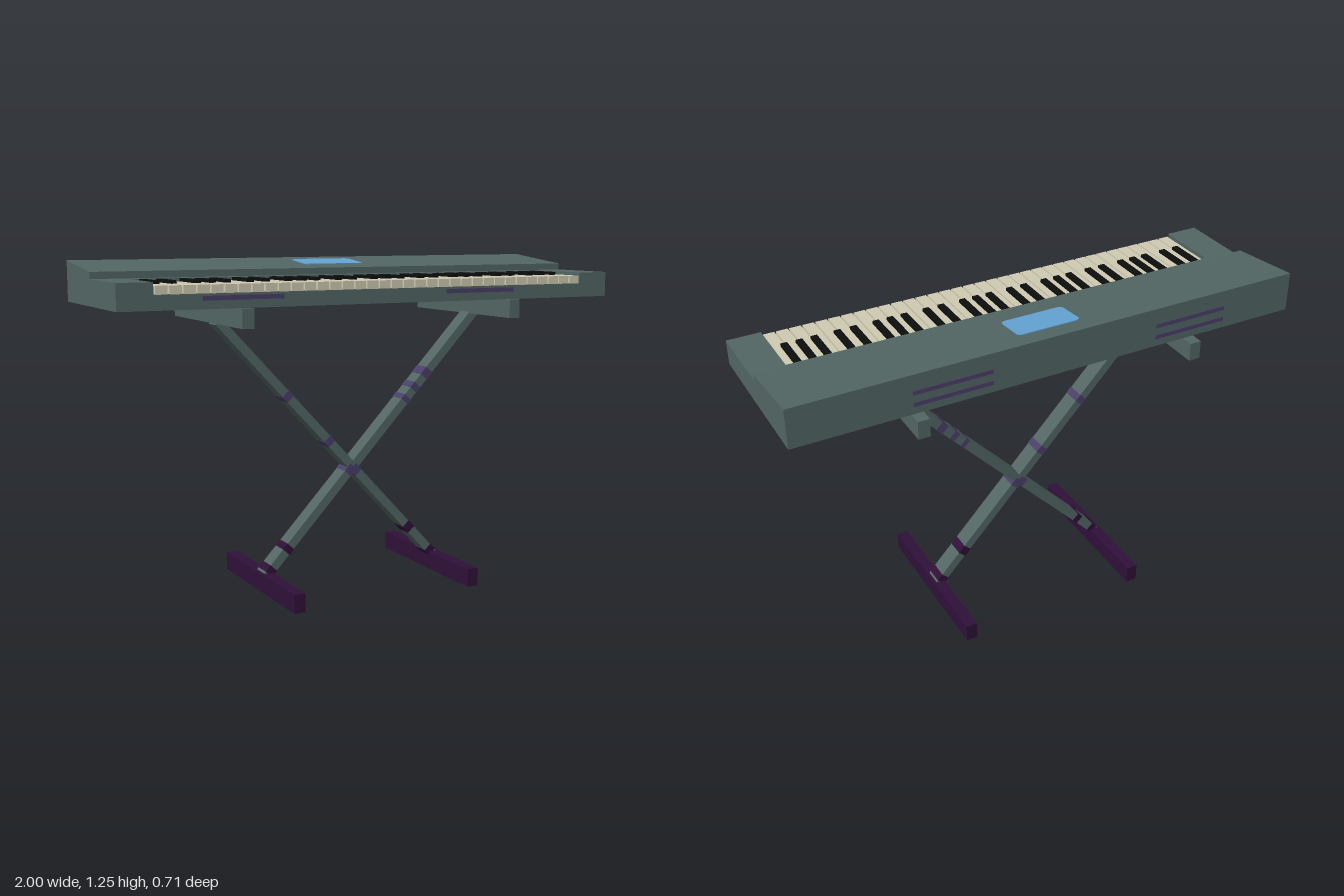
import * as THREE from 'three';

const material = (name, color, extra = {}) => {
  const m = new THREE.MeshStandardMaterial({ color, ...extra });
  m.name = name;
  return m;
};

export function createModel() {
  const casing = material('greyGreenCasing', 0x526664);
  const ivory = material('ivory', 0xcfcab2);
  const black = material('black', 0x0c0d0d);
  const violet = material('violet', 0x4a3f68);
  const plum = material('plum', 0x2f1038);
  const blue = material('screenBlue', 0x64a3d2);

  const model = new THREE.Group();
  model.name = 'keyboardOnStand';

  const add = (parent, name, geometry, mat) => {
    const mesh = new THREE.Mesh(geometry, mat);
    mesh.name = name;
    parent.add(mesh);
    return mesh;
  };
  // Box given by its limits along each axis
  const box = (parent, name, mat, [x0, x1], [y0, y1], [z0, z1]) => {
    const mesh = add(parent, name, new THREE.BoxGeometry(x1 - x0, y1 - y0, z1 - z0), mat);
    mesh.position.set((x0 + x1) / 2, (y0 + y1) / 2, (z0 + z1) / 2);
    return mesh;
  };

  // Case: side profile (z, y) swept along x
  const profile = [
    [-0.305, 1.1], [-0.305, 1.252], [0, 1.22], [0, 1.195],
    [0.05, 1.195], [0.05, 1.154], [0.31, 1.154], [0.31, 1.1],
  ];
  const caseShape = new THREE.Shape(profile.map(([z, y]) => new THREE.Vector2(-z, y)));
  const caseGeometry = new THREE.ExtrudeGeometry(caseShape, { depth: 2, bevelEnabled: false });
  caseGeometry.rotateY(Math.PI / 2).translate(-1, 0, 0);
  add(model, 'case', caseGeometry, casing);

  // Cheek blocks beside the keys
  for (const s of [-1, 1]) {
    const xs = s > 0 ? [0.872, 1] : [-1, -0.872];
    box(model, 'cheekBlock', casing, xs, [1.154, 1.195], [0.05, 0.31]);
  }

  // Five octaves of keys
  const keys = new THREE.Group();
  keys.name = 'keys';
  model.add(keys);
  const count = 35;
  const pitch = 1.74 / count;
  const sharpOffsets = { 0: -0.006, 1: 0.006, 3: -0.006, 4: 0, 5: 0.006 };
  for (let i = 0; i < count; i++) {
    const x = -0.87 + i * pitch;
    box(keys, 'whiteKey', ivory, [x + 0.003, x + pitch - 0.003], [1.153, 1.183], [0.051, 0.311]);
    const offset = sharpOffsets[i % 7];
    if (offset !== undefined) {
      const c = x + pitch + offset;
      box(keys, 'blackKey', black, [c - 0.0125, c + 0.0125], [1.155, 1.194], [0.051, 0.2]);
    }
  }

  // Rounded screen lying on the sloped panel
  const w = 0.125, h = 0.07, r = 0.022;
  const screenShape = new THREE.Shape();
  screenShape.moveTo(-w + r, -h);
  screenShape.lineTo(w - r, -h).quadraticCurveTo(w, -h, w, -h + r);
  screenShape.lineTo(w, h - r).quadraticCurveTo(w, h, w - r, h);
  screenShape.lineTo(-w + r, h).quadraticCurveTo(-w, h, -w, h - r);
  screenShape.lineTo(-w, -h + r).quadraticCurveTo(-w, -h, -w + r, -h);
  const screen = add(model, 'screen',
    new THREE.ExtrudeGeometry(screenShape, { depth: 0.004, bevelEnabled: false }), blue);
  screen.rotation.x = -Math.PI / 2 + Math.atan2(0.032, 0.305);
  screen.position.set(-0.003, 1.22 + 0.16 * 0.105 - 0.001, -0.16);

  // Thin trim lines: one pair in front, two pairs at the back
  for (const xs of [[-0.7, -0.4], [0.26, 0.56]]) {
    box(model, 'frontTrim', violet, xs, [1.129, 1.145], [0.308, 0.312]);
    for (const y of [1.137, 1.182]) {
      box(model, 'backTrim', violet, xs, [y - 0.008, y + 0.008], [-0.307, -0.303]);
    }
  }

  // Support bars and feet
  for (const s of [-1, 1]) {
    const bar = s * 0.547, foot = s * 0.367;
    box(model, 'supportBar', casing, [bar - 0.0225, bar + 0.0225], [1.03, 1.1], [-0.355, 0.34]);
    box(model, 'foot', plum, [foot - 0.0225, foot + 0.0225], [0, 0.07], [-0.302, 0.355]);
  }

  // Crossed legs with coloured bands, s is the side of the upper end
  const legZ = 0.025;
  const leg = (s, bands) => {
    const top = new THREE.Vector2(s * 0.547, 1.035);
    const bottom = new THREE.Vector2(-s * 0.367, 0.06);
    const dir = top.clone().sub(bottom);
    const length = dir.length();
    const group = new THREE.Group();
    group.name = s > 0 ? 'leftLeg' : 'rightLeg';
    group.position.set((top.x + bottom.x) / 2, (top.y + bottom.y) / 2, legZ);
    group.rotation.z = Math.atan2(-dir.x, dir.y);
    model.add(group);
    add(group, 'legBeam', new THREE.BoxGeometry(0.034, length, 0.07), casing);
    for (const [y, size, mat] of bands) {
      const band = add(group, 'legBand', new THREE.BoxGeometry(0.037, size, 0.073), mat);
      band.position.y = ((y - group.position.y) / dir.y) * length;
    }
  };
  leg(1, [[0.8, 0.036, violet], [0.747, 0.026, violet], [0.702, 0.022, violet],
    [0.44, 0.036, violet], [0.155, 0.028, plum], [0.078, 0.03, plum]]);
  leg(-1, [[0.745, 0.03, violet], [0.56, 0.03, violet],
    [0.44, 0.036, violet], [0.185, 0.036, plum], [0.078, 0.03, plum]]);

  return model;
}
